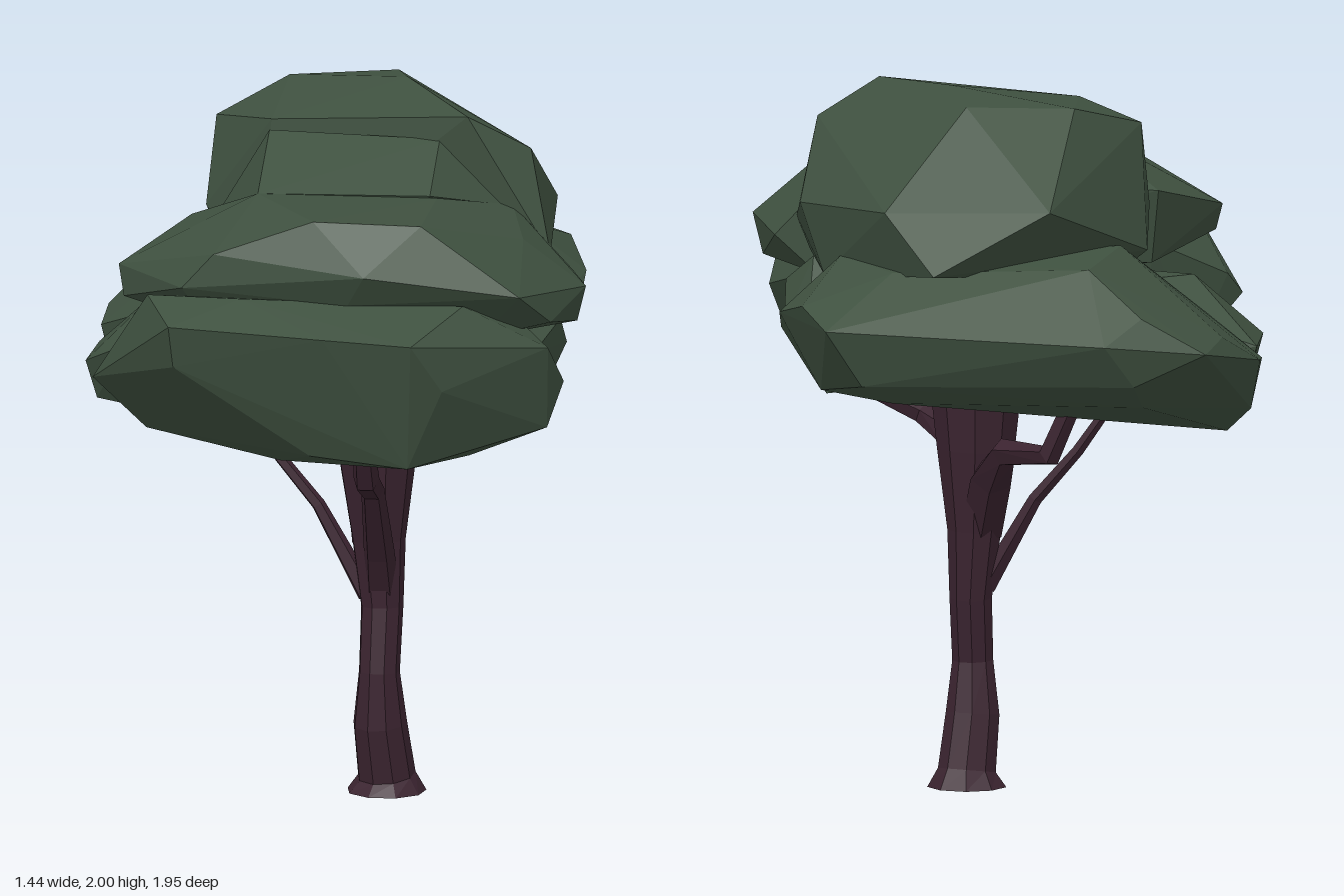
import * as THREE from 'three';
import { ConvexGeometry } from 'three/addons/geometries/ConvexGeometry.js';

const leafMat = new THREE.MeshStandardMaterial({ color: 0x3f5140, flatShading: true });
leafMat.name = 'dark green leaves';
const barkMat = new THREE.MeshStandardMaterial({ color: 0x3b2430, flatShading: true });
barkMat.name = 'dark plum bark';

// Faceted tapered limb through stations [x, y, z, radius]
function limb(name, stations, sides) {
  const centres = stations.map(s => new THREE.Vector3(s[0], s[1], s[2]));
  const up = new THREE.Vector3(0, 1, 0);
  const pos = [], index = [];
  stations.forEach((s, i) => {
    const dir = centres[Math.min(i + 1, centres.length - 1)].clone()
      .sub(centres[Math.max(i - 1, 0)]).normalize();
    const q = new THREE.Quaternion().setFromUnitVectors(up, dir);
    for (let k = 0; k < sides; k++) {
      const a = (k + 0.5) / sides * Math.PI * 2;
      const p = new THREE.Vector3(Math.sin(a), 0, Math.cos(a))
        .multiplyScalar(s[3]).applyQuaternion(q).add(centres[i]);
      pos.push(p.x, p.y, p.z);
    }
  });
  const n = stations.length;
  for (let i = 0; i < n - 1; i++) {
    for (let k = 0; k < sides; k++) {
      const a = i * sides + k, b = i * sides + (k + 1) % sides;
      index.push(a, b, b + sides, a, b + sides, a + sides);
    }
  }
  // end caps
  for (let k = 1; k < sides - 1; k++) {
    const t = (n - 1) * sides;
    index.push(0, k + 1, k, t, t + k, t + k + 1);
  }
  const g = new THREE.BufferGeometry();
  g.setAttribute('position', new THREE.Float32BufferAttribute(pos, 3));
  g.setIndex(index);
  const flat = g.toNonIndexed();
  flat.computeVertexNormals();
  const mesh = new THREE.Mesh(flat, barkMat);
  mesh.name = name;
  return mesh;
}

// Faceted leaf mass spanned by its corner points
function leafMass(name, corners) {
  const mesh = new THREE.Mesh(
    new ConvexGeometry(corners.map(c => new THREE.Vector3(...c))), leafMat);
  mesh.name = name;
  return mesh;
}

export function createModel() {
  const tree = new THREE.Group();
  tree.name = 'tree';

  // trunk with a flared foot, widening again into the crown
  tree.add(limb('trunk', [
    [0.11, 0, -0.08, 0.112], [0.11, 0.045, -0.08, 0.082], [0.095, 0.2, -0.05, 0.076],
    [0.095, 0.35, -0.035, 0.058], [0.1, 0.53, -0.06, 0.06], [0.09, 0.72, -0.065, 0.076],
    [0.085, 0.95, -0.065, 0.11], [0.085, 1.22, -0.065, 0.14],
  ], 9));

  // branches
  tree.add(limb('frontBranch', [
    [0.1, 0.58, -0.05, 0.05], [0.1, 0.7, 0.02, 0.045], [0.1, 0.91, 0.17, 0.034],
    [0.1, 0.97, 0.32, 0.038], [0.1, 1.2, 0.45, 0.026],
  ], 5));
  tree.add(limb('backBranch', [
    [0.07, 0.72, -0.07, 0.06], [0.04, 0.88, -0.17, 0.06], [0.0, 0.97, -0.28, 0.04],
    [-0.13, 0.985, -0.44, 0.033], [-0.23, 1.22, -0.48, 0.026],
  ], 5));
  tree.add(limb('rightBranch', [
    [0.06, 0.56, -0.06, 0.03], [-0.08, 0.81, -0.08, 0.02],
    [-0.2, 0.95, -0.1, 0.017], [-0.36, 1.18, -0.12, 0.012],
  ], 5));
  tree.add(limb('leftBranch', [
    [0.14, 0.97, -0.04, 0.045], [0.24, 1.03, 0.07, 0.032], [0.52, 1.16, 0.1, 0.02],
  ], 5));

  // leaf masses
  tree.add(leafMass('topLeaves', [
    [0.36, 1.97, 0.11], [-0.2, 1.93, 0.02], [-0.38, 1.89, -0.2], [-0.2, 1.96, -0.42],
    [0.15, 2, -0.25], [0.1, 1.97, -0.47], [0.53, 1.87, 0.04],
    [0.32, 1.71, -0.73], [-0.14, 1.71, -0.72], [0.57, 1.67, -0.26], [0.59, 1.58, 0.09],
    [-0.4, 1.65, -0.12], [-0.4, 1.55, -0.33], [0.18, 1.55, -0.87], [0.5, 1.48, -0.35],
    [-0.3, 1.46, -0.25], [0.55, 1.5, 0], [-0.25, 1.46, 0.03], [0.3, 1.45, -0.1],
  ]));
  tree.add(leafMass('backLeaves', [
    [-0.58, 1.34, -0.9], [-0.3, 1.37, -0.98], [0.48, 1.4, -0.9], [-0.4, 1.44, -0.9],
    [-0.25, 1.56, -0.78], [0.3, 1.54, -0.72], [0.55, 1.45, -0.75], [0.62, 1.4, -0.52],
    [0.62, 1.33, -0.34], [0.56, 1.35, -0.14], [0.45, 1.55, -0.45], [-0.33, 1.58, -0.45],
    [-0.62, 1.36, -0.7], [-0.72, 1.27, -0.52], [-0.72, 1.25, -0.34], [-0.58, 1.33, -0.14],
    [-0.3, 1.45, -0.13], [0.4, 1.2, -0.16], [0.5, 1.2, -0.65], [0.3, 1.17, -0.7],
    [-0.4, 1.17, -0.76], [-0.69, 1.11, -0.36], [-0.62, 1.03, -0.25], [-0.5, 1.1, -0.45],
    [0.38, 1.24, -0.86], [-0.38, 1.25, -0.92],
  ]));
  tree.add(leafMass('frontUpperLeaves', [
    [-0.2, 1.79, 0.35], [0, 1.8, 0.74], [0.3, 1.79, 0.72], [0.3, 1.785, 0.33],
    [0.55, 1.69, 0.4], [0.48, 1.71, 0.05], [0.72, 1.55, 0.35], [0.65, 1.53, 0.06],
    [0.69, 1.44, 0.3], [0.65, 1.5, 0.6], [0.58, 1.6, 0.75], [0.15, 1.66, 0.82],
    [0.1, 1.57, 0.77], [-0.28, 1.7, 0.74], [-0.37, 1.6, 0.73], [-0.59, 1.58, 0.35],
    [-0.57, 1.5, 0.4], [-0.42, 1.66, 0.05], [-0.4, 1.45, 0.1], [0.53, 1.42, 0.06],
    [0.45, 1.45, 0.6], [-0.3, 1.48, 0.65], [-0.3, 1.42, 0.25],
  ]));
  tree.add(leafMass('crestLeaves', [
    [-0.2, 1.91, 0.07], [0.28, 1.9, 0.09], [-0.2, 1.79, 0.35], [0.28, 1.79, 0.33],
    [-0.35, 1.66, 0.04], [0.5, 1.7, 0.03], [-0.2, 1.86, -0.04], [0.28, 1.86, -0.04],
    [0.05, 1.55, 0.25],
  ]));
  tree.add(leafMass('frontLowerLeaves', [
    [-0.39, 1.52, 0.88], [0.05, 1.51, 0.95], [0.3, 1.5, 0.97], [-0.47, 1.57, 0.69],
    [-0.2, 1.58, 0.76], [0.42, 1.57, 0.74], [0.65, 1.44, 0.66], [0.68, 1.32, 0.54],
    [0.64, 1.2, 0.6], [0.38, 1.36, 0.9], [-0.38, 1.4, 0.85], [0.42, 1.11, 0.58],
    [0.28, 1.13, 0.87], [0, 1.15, 0.82], [-0.1, 1.1, 0.66], [-0.64, 1.3, 0.55],
    [-0.6, 1.36, 0.5], [-0.5, 1.14, 0.46], [-0.35, 1.12, 0.42], [0.45, 1.17, 0.36],
    [0.57, 1.38, 0.33], [0.58, 1.47, 0.55], [-0.4, 1.47, 0.34],
  ]));
  tree.add(leafMass('rightLeaves', [
    [-0.7, 1.25, -0.13], [-0.71, 1.25, 0.12], [-0.68, 1.14, 0.1], [-0.58, 1.33, 0.27],
    [-0.52, 1.43, 0.02], [-0.66, 1.13, -0.12], [-0.45, 1.12, 0.2], [-0.25, 1.16, 0.2],
    [-0.25, 1.16, -0.2], [-0.2, 1.42, 0.25], [-0.2, 1.42, -0.15],
  ]));
  tree.add(leafMass('leftLeaves', [
    [0.57, 1.35, 0.35], [0.52, 1.2, 0.34], [0.62, 1.4, 0.1], [0.54, 1.48, 0],
    [0.62, 1.3, -0.05], [0.55, 1.33, -0.15], [0.5, 1.11, -0.12], [0.55, 1.14, 0.12],
    [0.2, 1.12, 0.05], [0.15, 1.18, 0.35], [0.1, 1.45, 0.3], [0.1, 1.45, -0.15],
    [0.4, 1.46, 0.4], [0.2, 1.15, -0.14], [-0.2, 1.25, 0.1],
  ]));
  return tree;
}
